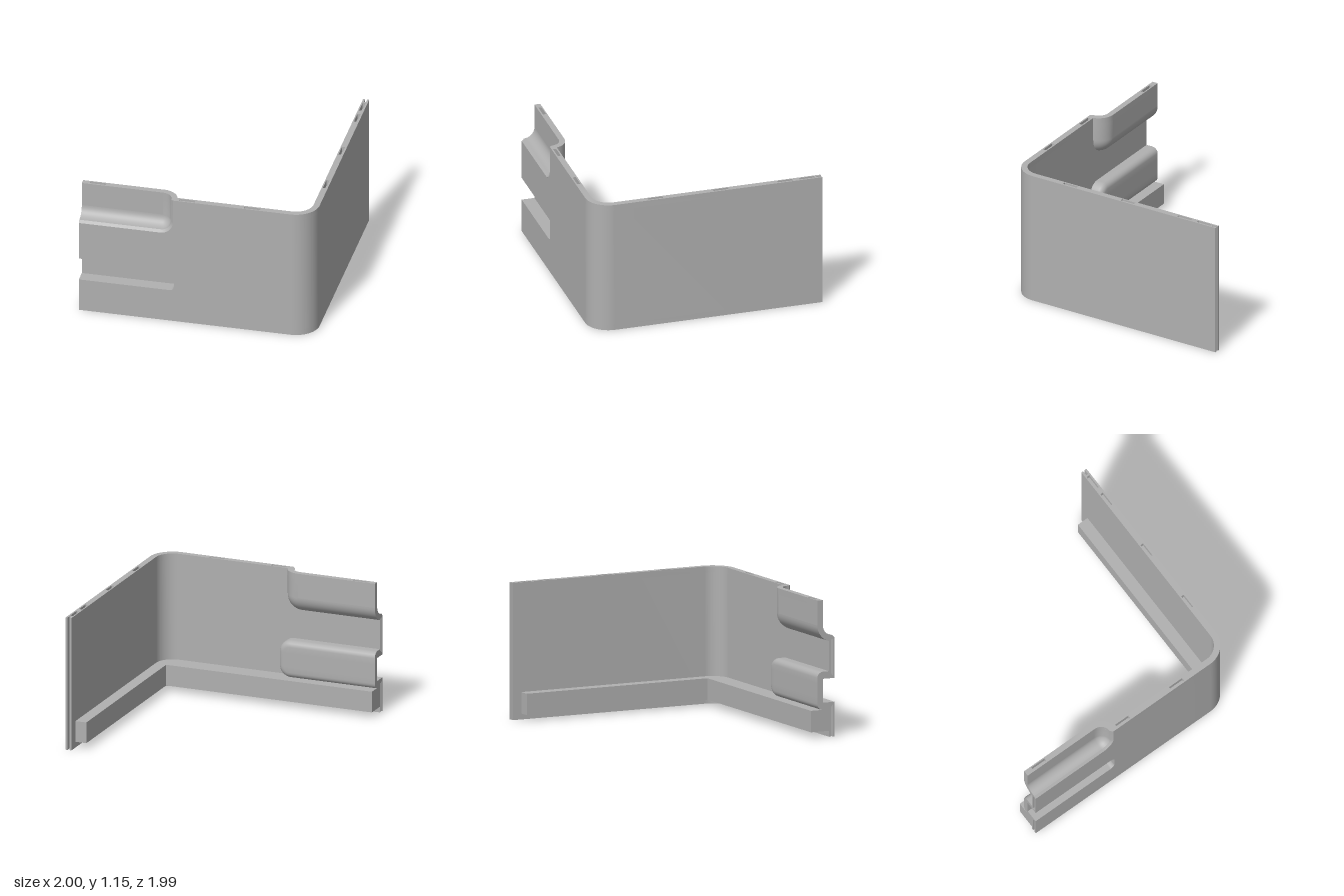
import * as THREE from 'three';
import { toCreasedNormals } from 'three/addons/utils/BufferGeometryUtils.js';

const T = 0.052;        // wall thickness
const H = 1.15;         // wall height
const FRONT = 0.99;     // outer z of the front wall
const Q = Math.PI / 2;

export function createModel() {
  const group = new THREE.Group();
  const grey = new THREE.MeshStandardMaterial({ color: 0xb0b0b0 });

  const add = (name, geo) => {
    const mesh = new THREE.Mesh(toCreasedNormals(geo, 0.6), grey);
    mesh.name = name;
    group.add(mesh);
  };
  const box = (name, x0, x1, y0, y1, z0, z1) => {
    const g = new THREE.BoxGeometry(x1 - x0, y1 - y0, z1 - z0);
    g.translate((x0 + x1) / 2, (y0 + y1) / 2, (z0 + z1) / 2);
    add(name, g);
  };
  // Plan shapes use (x, -z) and are raised from y0 to y1
  const raise = (name, shape, y0, y1) => {
    const g = new THREE.ExtrudeGeometry(shape, { depth: y1 - y0, bevelEnabled: false, curveSegments: 16 });
    g.rotateX(-Q);
    g.translate(0, y0, 0);
    add(name, g);
  };
  // L-shaped band between two offsets from the outer face
  const band = (x0, a, b, end) => {
    const s = new THREE.Shape();
    s.moveTo(x0, a - FRONT);
    s.lineTo(0.8, a - FRONT);
    s.absarc(0.8, -0.79, 0.2 - a, -Q, 0, false);
    s.lineTo(1 - a, end);
    s.lineTo(1 - b, end);
    s.lineTo(1 - b, -0.79);
    s.absarc(0.8, -0.79, 0.2 - b, 0, -Q, true);
    s.lineTo(x0, b - FRONT);
    return s;
  };

  // Corner and side wall
  raise('sideWall', band(0.6, 0, T, 0.955), 0.05, 1.1);

  // Front wall with the two notches
  const wall = new THREE.Shape();
  wall.moveTo(0.6, 0.05);
  wall.lineTo(0.6, 1.1);
  wall.lineTo(-0.2, 1.1);
  wall.lineTo(-0.2, 0.94);
  wall.absarc(-0.31, 0.94, 0.11, 0, -Q, true);
  wall.lineTo(-0.955, 0.83);
  wall.lineTo(-0.955, 0.49);
  wall.lineTo(-0.23, 0.49);
  wall.absarc(-0.23, 0.45, 0.04, Q, 0, true);
  wall.lineTo(-0.19, 0.33);
  wall.absarc(-0.23, 0.33, 0.04, 0, -Q, true);
  wall.lineTo(-0.955, 0.29);
  wall.lineTo(-0.955, 0.05);
  const wallGeo = new THREE.ExtrudeGeometry(wall, { depth: T, bevelEnabled: false, curveSegments: 10 });
  wallGeo.translate(0, 0, FRONT - T);
  add('frontWall', wallGeo);

  // Top rim following the recess, with small rectangular sockets
  const rim = new THREE.Shape();
  rim.moveTo(-1, -0.88);
  rim.lineTo(-0.31, -0.88);
  rim.absarc(-0.31, -0.97, 0.09, Q, 0, true);
  rim.lineTo(-0.2, -0.99);
  rim.lineTo(0.8, -0.99);
  rim.absarc(0.8, -0.79, 0.2, -Q, 0, false);
  rim.lineTo(1, 0.955);
  rim.lineTo(1 - T, 0.955);
  rim.lineTo(1 - T, -0.79);
  rim.absarc(0.8, -0.79, 0.2 - T, 0, -Q, true);
  rim.absarc(-0.31, -0.97, 0.14, 0.231, Q, false);
  rim.lineTo(-1, -0.83);
  const socket = (x, z, w, d) => {
    const p = new THREE.Path();
    p.moveTo(x - w / 2, -z - d / 2);
    p.lineTo(x - w / 2, -z + d / 2);
    p.lineTo(x + w / 2, -z + d / 2);
    p.lineTo(x + w / 2, -z - d / 2);
    p.closePath();
    rim.holes.push(p);
  };
  for (const [x, z] of [[-0.867, 0.853], [-0.085, 0.964], [0.47, 0.964]]) socket(x, z, 0.134, 0.026);
  for (const z of [0.435, -0.128, -0.685, -0.875]) socket(0.972, z, 0.026, 0.13);
  raise('topRim', rim, 1.1, H);

  // Twin lips leave a groove along the bottom and the two ends
  for (const [a, b] of [[0, 0.017], [T - 0.017, T]]) {
    raise('bottomLip', band(-1, a, b, 1), 0, 0.05);
    box('sideEndLip', 1 - b, 1 - a, 0.05, H, -1, -0.955);
    for (const [y0, y1] of [[0.05, 0.29], [0.49, 0.83]])
      box('frontEndLip', -1, -0.955, y0, y1, FRONT - b, FRONT - a);
  }

  // Inner ledge
  const ledge = new THREE.Shape([
    [-1, -0.77], [-1, -0.945], [0.8, -0.96], [0.92, -0.91],
    [0.97, -0.79], [0.97, 0.915], [0.85, 0.915], [0.85, -0.77],
  ].map(([x, y]) => new THREE.Vector2(x, y)));
  raise('innerLedge', ledge, 0.05, 0.23);

  // Sweep a closed [inset, z] section round an edge given by arc centres and angles
  const sweep = (name, outer, inner, radius, path) => {
    const ring = [...outer, ...[...inner].reverse()];
    const n = ring.length, m = outer.length;
    const pos = [], idx = [];
    for (const [cx, cy, a] of path)
      for (const [s, z] of ring)
        pos.push(cx + (radius - s) * Math.cos(a), cy + (radius - s) * Math.sin(a), z);
    for (let j = 0; j < path.length - 1; j++)
      for (let i = 0; i < n; i++) {
        const a = j * n + i, b = j * n + (i + 1) % n;
        idx.push(a, b, b + n, a, b + n, a + n);
      }
    const last = (path.length - 1) * n;
    for (let i = 0; i < m - 1; i++) {
      const a = i, b = i + 1, c = n - 2 - i, d = n - 1 - i;
      idx.push(a, c, b, a, d, c);
      idx.push(last + a, last + b, last + c, last + a, last + c, last + d);
    }
    const g = new THREE.BufferGeometry();
    g.setAttribute('position', new THREE.Float32BufferAttribute(pos, 3));
    g.setIndex(idx);
    add(name, g);
  };
  const turn = (cx, cy, a0, a1) =>
    Array.from({ length: 11 }, (_, i) => [cx, cy, a0 + (a1 - a0) * i / 10]);
  const arc = (s, z, r, a0, a1, n) => Array.from({ length: n + 1 }, (_, i) => {
    const a = a0 + (a1 - a0) * i / n;
    return [s - r * Math.cos(a), z - r * Math.sin(a)];
  });

  // Upper recess with a curved edge
  sweep('upperRecessEdge',
    [[0, 0.99], ...arc(0.11, 0.97, 0.09, 0, Q, 10)],
    arc(0.11, 0.97, 0.14, 0.231, Q, 11),
    0.11, [[-0.31, 1.1, 0], ...turn(-0.31, 0.94, 0, -Q), [-1, 0.94, -Q]]);
  box('upperRecessFloor', -1, -0.31, 0.94, 1.1, 0.83, 0.88);

  // Lower slot with straight walls and a rounded back
  sweep('lowerSlotEdge',
    [[0, 0.99], [0, 0.97], [0, 0.95], [0, 0.93], [0, 0.91], [0, 0.9], [0, 0.88], [0.04, 0.88]],
    [[-0.06, 0.94], ...arc(-0.01, 0.88, 0.05, 0, Q, 5), [0.04, 0.83]],
    0.04, [[-1, 0.45, Q], ...turn(-0.23, 0.45, Q, 0), ...turn(-0.23, 0.33, 0, -Q), [-1, 0.33, -Q]]);
  box('lowerSlotFloor', -1, -0.23, 0.33, 0.45, 0.83, 0.88);

  return group;
}
